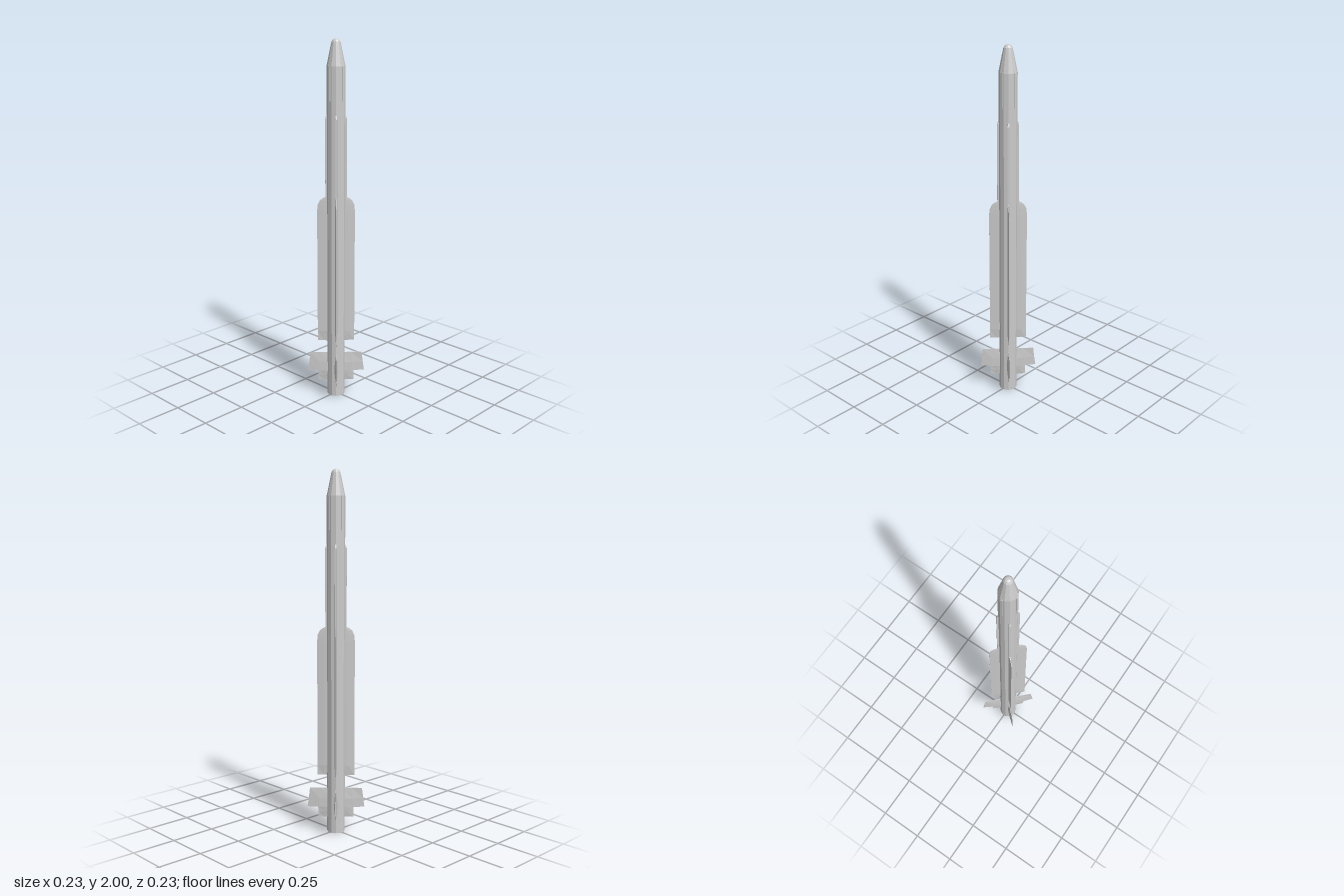
import * as THREE from 'three';

const material = new THREE.MeshStandardMaterial({ color: 0xcccccc, flatShading: true, side: THREE.DoubleSide });
const ROOT = 0.03; // fins start inside the body

function mesh(name, geometry) {
  const m = new THREE.Mesh(geometry, material);
  m.name = name;
  return m;
}

// Loft along y through rows of [y, outer radius, root thickness, tip thickness share].
function finGeometry(rows) {
  const positions = [];
  const index = [];
  for (const [y, outer, t, tip] of rows) {
    const mid = ROOT + (outer - ROOT) * 0.5;
    const h = t / 2;
    const m = h * (0.65 + 0.35 * tip);
    const e = h * tip;
    for (const [r, z] of [[ROOT, h], [mid, m], [outer, e], [outer, -e], [mid, -m], [ROOT, -h]]) {
      positions.push(r, y, z);
    }
  }
  const n = 6;
  for (let i = 0; i < rows.length - 1; i++) {
    for (let j = 0; j < n; j++) {
      const a = i * n + j, b = i * n + (j + 1) % n;
      index.push(a, b, a + n, b, b + n, a + n);
    }
  }
  const last = (rows.length - 1) * n;
  for (let j = 1; j < n - 1; j++) {
    index.push(0, j + 1, j, last, last + j, last + j + 1);
  }
  const g = new THREE.BufferGeometry();
  g.setAttribute('position', new THREE.Float32BufferAttribute(positions, 3));
  g.setIndex(index);
  g.computeVertexNormals();
  return g;
}

export function createModel() {
  const model = new THREE.Group();

  // Body tube with recessed exhaust, tapered nose and rounded tip
  const profile = [
    [0, 0.05], [0.043, 0.05], [0.045, 0], [0.0495, 0], [0.0495, 1.6], [0.0495, 1.86],
    [0.027, 1.968], [0.0235, 1.984], [0.016, 1.995], [0.008, 1.999], [0, 2],
  ].map(([r, y]) => new THREE.Vector2(r, y));
  model.add(mesh('body', new THREE.LatheGeometry(profile, 12, Math.PI / 12)));

  // Narrow strake, long wing and stepped tail fin
  const strake = finGeometry([
    [1.1, 0.058, 0.013, 0.8], [1.585, 0.058, 0.013, 0.8], [1.605, 0.05, 0.008, 0.8],
  ]);
  const wing = finGeometry([
    [0.325, 0.103, 0.003, 0.3], [0.38, 0.103, 0.015, 0.15], [1.08, 0.103, 0.015, 0.15],
    [1.115, 0.1, 0.014, 0.15], [1.14, 0.088, 0.013, 0.2], [1.153, 0.072, 0.012, 0.3],
    [1.16, 0.056, 0.01, 0.5],
  ]);
  const tail = finGeometry([
    [0.08, 0.1, 0.004, 0.1], [0.11, 0.1, 0.014, 0.1], [0.14, 0.1, 0.02, 0.1],
    [0.14, 0.16, 0.02, 0.08], [0.19, 0.153, 0.018, 0.08], [0.25, 0.146, 0.004, 0.1],
  ]);
  const guide = new THREE.BoxGeometry(0.014, 0.18, 0.01).translate(0.0455, 1.77, 0);

  for (let i = 0; i < 4; i++) {
    const fins = new THREE.Group();
    fins.name = 'finSet';
    fins.rotation.y = Math.PI / 4 + i * Math.PI / 2;
    fins.add(mesh('strake', strake), mesh('wing', wing), mesh('tailFin', tail));
    model.add(fins);

    // Slim guide rail below the nose
    const rail = mesh('guideRail', guide);
    rail.rotation.y = i * Math.PI / 2;
    model.add(rail);
  }
  return model;
}
